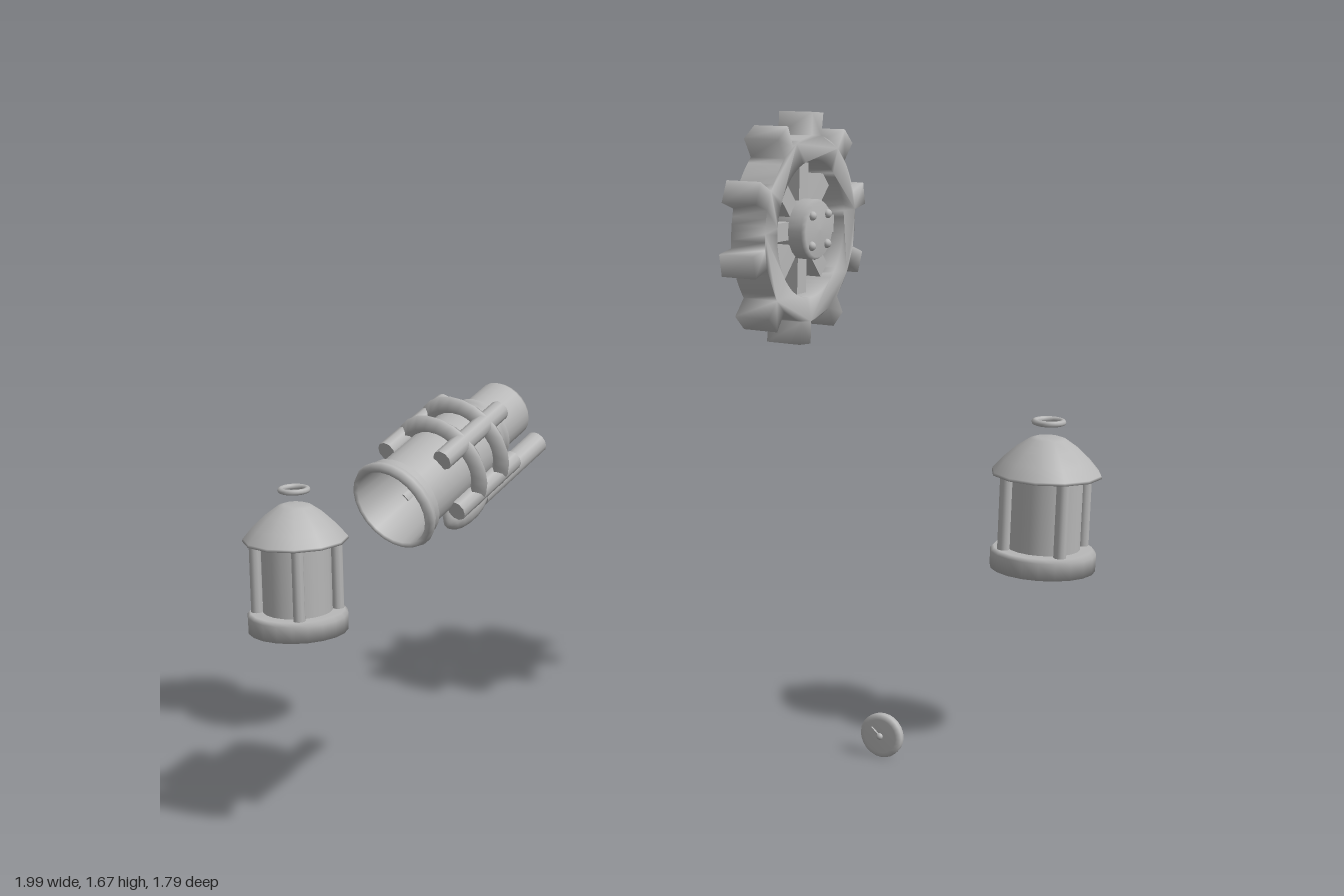
import * as THREE from 'three';
import { mergeVertices } from 'three/addons/utils/BufferGeometryUtils.js';

const grey = new THREE.MeshStandardMaterial({ color: 0xb6b6b6 });
grey.name = 'grey';

function add(parent, name, geometry, x = 0, y = 0, z = 0) {
  const mesh = new THREE.Mesh(geometry, grey);
  mesh.name = name;
  mesh.position.set(x, y, z);
  parent.add(mesh);
  return mesh;
}

function lathe(points, sides) {
  return new THREE.LatheGeometry(points.map(([r, y]) => new THREE.Vector2(r, y)), sides);
}

// Weld corners so that shading runs smoothly over every edge
function smooth(geometry) {
  geometry.deleteAttribute('normal');
  geometry.deleteAttribute('uv');
  const welded = mergeVertices(geometry, 1e-4);
  welded.computeVertexNormals();
  return welded;
}

function group(name, x, y, z) {
  const g = new THREE.Group();
  g.name = name;
  g.position.set(x, y, z);
  return g;
}

// Lantern: base, glass, four posts, domed roof and a floating ring
function lantern(name, x, y, z) {
  const g = group(name, x, y, z);
  add(g, 'base', lathe([[0, 0], [0.135, 0], [0.136, 0.045], [0.127, 0.055], [0, 0.055]], 20));
  add(g, 'glass', new THREE.CylinderGeometry(0.094, 0.094, 0.21, 20), 0, 0.155, 0);
  for (const sx of [-1, 1]) for (const sz of [-1, 1])
    add(g, 'post', new THREE.CylinderGeometry(0.016, 0.016, 0.21, 10), sx * 0.077, 0.155, sz * 0.077);
  add(g, 'roof', lathe([[0, 0.25], [0.142, 0.25], [0.14, 0.257], [0.114, 0.288], [0.08, 0.32],
    [0.046, 0.344], [0.03, 0.349], [0, 0.35]], 12)).rotation.y = 0.2;
  add(g, 'ring', new THREE.TorusGeometry(0.036, 0.008, 8, 24), 0, 0.388, 0).rotation.x = Math.PI / 2;
  return g;
}

// Toothed wheel, built in the xy plane and turned to face sideways
function wheel() {
  const g = group('toothedWheel', 0.279, 1.373, -0.435);
  g.rotation.y = Math.PI / 2;
  const teeth = 10, rimR = 0.235, tipR = 0.293;
  const shape = new THREE.Shape();
  for (let i = 0; i < teeth; i++) {
    const a = (86 + i * 36) * Math.PI / 180;
    const at = (r, offset) => [r * Math.cos(a) - offset * Math.sin(a), r * Math.sin(a) + offset * Math.cos(a)];
    const corners = [at(rimR, -0.025), at(tipR, -0.029), at(tipR, 0.029), at(rimR, 0.025)];
    corners.forEach((p, k) => (i + k === 0 ? shape.moveTo(...p) : shape.lineTo(...p)));
    for (let k = 1; k < 5; k++) {
      const b = a + 0.106 + (Math.PI / 5 - 0.212) * k / 5;
      shape.lineTo(rimR * Math.cos(b), rimR * Math.sin(b));
    }
  }
  shape.closePath();
  shape.holes.push(new THREE.Path().absarc(0, 0, 0.174, 0, Math.PI * 2, true));
  const rim = new THREE.ExtrudeGeometry(shape, { depth: 0.096, bevelEnabled: false, curveSegments: 32 });
  rim.translate(0, 0, -0.048);
  add(g, 'rim', smooth(rim));
  for (let i = 0; i < 8; i++) {
    const spoke = new THREE.BoxGeometry(0.113, 0.046, 0.046);
    spoke.translate(0.109, 0, 0);
    add(g, 'spoke', spoke).rotation.z = i * Math.PI / 4;
  }
  const hub = lathe([[0, -0.071], [0.075, -0.071], [0.077, 0.06], [0.07, 0.07], [0, 0.073]], 24);
  add(g, 'hub', hub).rotation.x = Math.PI / 2;
  for (const sx of [-1, 1]) for (const sy of [-1, 1])
    add(g, 'bolt', new THREE.SphereGeometry(0.012, 10, 8), sx * 0.04, sy * 0.038, 0.071);
  return g;
}

// Tilted tube: local y runs backward from the muzzle, local z is upward
function tubeDevice() {
  const g = group('tiltedTube', 0.021, 0.866, 0.858);
  g.rotation.x = -1.209;
  add(g, 'barrel', lathe([[0, 0.2], [0.078, 0.2], [0.09, 0], [0.102, 0], [0.107, 0.012], [0.1, 0.026],
    [0.092, 0.03], [0.098, 0.042], [0.088, 0.052], [0.087, 0.3], [0.07, 0.312], [0.079, 0.325],
    [0.079, 0.338], [0.069, 0.348], [0.069, 0.43], [0.062, 0.44], [0, 0.443]], 24));
  // Bands have a pointed outer edge
  for (const y of [0.185, 0.27])
    add(g, 'band', new THREE.TorusGeometry(0.101, 0.023, 4, 24), 0, y, 0).rotation.x = Math.PI / 2;
  for (const sx of [-1, 1]) for (const sz of [-1, 1])
    add(g, 'rail', new THREE.CylinderGeometry(0.023, 0.023, 0.22, 10), sx * 0.078, 0.22, sz * 0.065);
  add(g, 'handle', new THREE.CylinderGeometry(0.027, 0.027, 0.24, 14), 0, 0.393, -0.138);
  const knob = add(g, 'handleKnob', new THREE.SphereGeometry(1, 16, 10), 0, 0.225, -0.134);
  knob.scale.set(0.035, 0.077, 0.038);
  knob.rotation.x = 0.1;
  add(g, 'hanger', new THREE.BoxGeometry(0.03, 0.05, 0.05), 0, 0.24, -0.1);
  return g;
}

// Small round dial with a needle and pin on the front
function dial() {
  const g = group('dial', 0.555, 0.059, -0.477);
  const body = lathe([[0, 0], [0.052, 0.001], [0.058, 0.007], [0.059, 0.022], [0.054, 0.028], [0.045, 0.029], [0, 0.029]], 24);
  add(g, 'case', body).rotation.x = Math.PI / 2;
  add(g, 'pin', new THREE.SphereGeometry(0.009, 10, 8), 0, 0, 0.03);
  add(g, 'needle', new THREE.BoxGeometry(0.03, 0.006, 0.008), -0.013, 0.011, 0.031).rotation.z = -0.7;
  return g;
}

export function createModel() {
  const model = new THREE.Group();
  model.name = 'floatingProps';
  model.add(
    lantern('rightLantern', -0.858, 0.278, 0.232),
    lantern('leftLantern', 0.856, 0.494, -0.755),
    wheel(), tubeDevice(), dial());
  return model;
}
